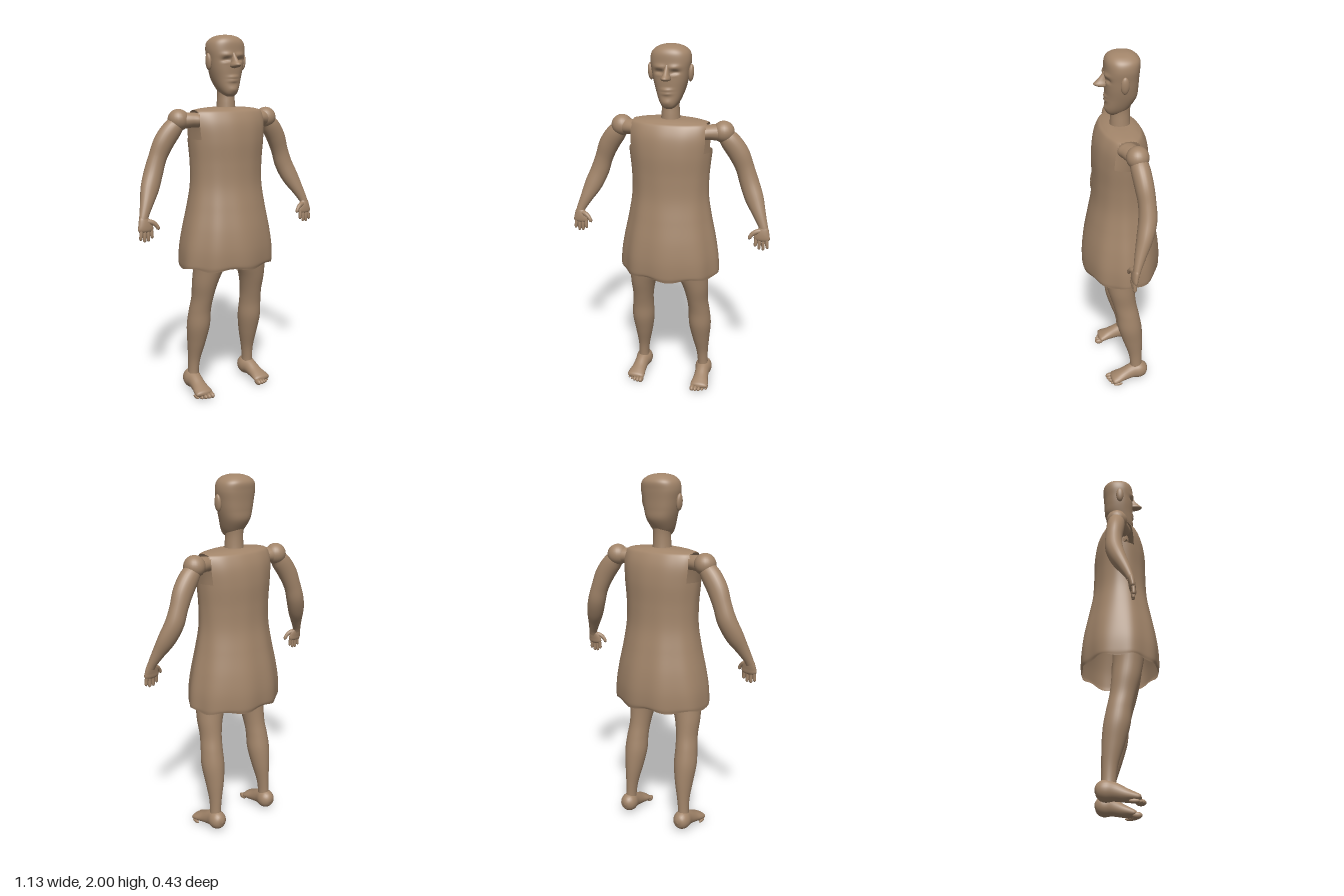
import * as THREE from 'three';

const skin = new THREE.MeshStandardMaterial({ color: 0xa2856a, side: THREE.DoubleSide });
skin.name = 'tan';

const Y = new THREE.Vector3(0, 1, 0);
const Z = new THREE.Vector3(0, 0, 1);
const bump = (d, w) => Math.exp(-(d * d) / (w * w));

function add(group, name, geometry) {
  const mesh = new THREE.Mesh(geometry, skin);
  mesh.name = name;
  group.add(mesh);
  return mesh;
}

// Smooth skin through elliptical sections [x, y, z, radius across, radius along ref].
// side mirrors x, shape(point, angle, t) adjusts points, skip(point) cuts holes.
function loft(sections, { rings = 30, segs = 24, ref = Z, side = 1, level = false, shape, skip } = {}) {
  const spine = new THREE.CatmullRomCurve3(
    sections.map(([x, y, z]) => new THREE.Vector3(x * side, y, z)), false, 'catmullrom', 0.5);
  const radii = new THREE.CatmullRomCurve3(
    sections.map((s) => new THREE.Vector3(s[3], s[4], 0)), false, 'catmullrom', 0.5);
  const points = [];
  for (let i = 0; i <= rings; i++) {
    const t = i / rings;
    const c = spine.getPoint(t), r = radii.getPoint(t);
    const T = level ? Y : spine.getTangent(t);
    const V = ref.clone().addScaledVector(T, -ref.dot(T)).normalize();
    const U = new THREE.Vector3().crossVectors(T, V);
    for (let j = 0; j < segs; j++) {
      const a = (j / segs) * Math.PI * 2;
      const p = c.clone()
        .addScaledVector(U, Math.cos(a) * Math.max(r.x, 0.0005))
        .addScaledVector(V, Math.sin(a) * Math.max(r.y, 0.0005));
      if (shape) shape(p, a, t);
      points.push(p);
    }
  }
  const index = [];
  for (let i = 0; i < rings; i++) {
    for (let j = 0; j < segs; j++) {
      const k = (j + 1) % segs;
      const a = i * segs + j, b = a + segs, c = i * segs + k, d = c + segs;
      if (skip && [a, b, c, d].some((n) => skip(points[n]))) continue;
      index.push(a, b, c, c, b, d);
    }
  }
  const g = new THREE.BufferGeometry().setFromPoints(points);
  g.setIndex(index);
  g.computeVertexNormals();
  return g;
}

function ball(group, name, x, y, z, rx, ry = rx, rz = rx) {
  const mesh = add(group, name, new THREE.SphereGeometry(1, 24, 16));
  mesh.position.set(x, y, z);
  mesh.scale.set(rx, ry, rz);
  return mesh;
}

function makeHead() {
  const head = new THREE.Group();
  head.name = 'head';
  // skull with brow, eye sockets, lips and chin pushed in or out
  add(head, 'skull', loft([
    [0, 1.672, 0.03, 0.001, 0.001], [0, 1.676, 0.028, 0.022, 0.025], [0, 1.69, 0.02, 0.04, 0.05],
    [0, 1.72, 0.01, 0.058, 0.066], [0, 1.77, -0.005, 0.077, 0.081], [0, 1.82, -0.007, 0.091, 0.085],
    [0, 1.87, -0.008, 0.1, 0.087], [0, 1.92, -0.01, 0.107, 0.089], [0, 1.96, -0.012, 0.099, 0.087],
    [0, 1.985, -0.01, 0.072, 0.067], [0, 1.997, -0.01, 0.036, 0.036], [0, 2, -0.01, 0.001, 0.001],
  ], {
    rings: 88, segs: 72, level: true,
    shape: (p, a) => {
      const boxy = 1 + 0.05 * Math.sin(2 * a) ** 2;
      p.x *= boxy;
      p.z *= boxy;
      if (p.z < 0.01) return;
      const ax = Math.abs(p.x);
      p.z += 0.008 * bump(ax - 0.038, 0.03) * bump(p.y - 1.893, 0.012)
        - 0.013 * bump(ax - 0.042, 0.022) * bump(p.y - 1.866, 0.012)
        + 0.005 * bump(ax - 0.042, 0.016) * bump(p.y - 1.856, 0.008)
        + 0.008 * bump(ax, 0.028) * (bump(p.y - 1.777, 0.008) + bump(p.y - 1.758, 0.008))
        + 0.006 * bump(ax, 0.025) * bump(p.y - 1.712, 0.016);
    },
  }));
  add(head, 'nose', loft([
    [0, 1.905, 0.074, 0.008, 0.008], [0, 1.885, 0.078, 0.011, 0.016], [0, 1.86, 0.085, 0.017, 0.031],
    [0, 1.842, 0.09, 0.024, 0.045], [0, 1.83, 0.086, 0.022, 0.032], [0, 1.823, 0.08, 0.001, 0.001],
  ], { level: true }));
  for (const s of [-1, 1]) ball(head, 'ear', s * 0.108, 1.858, -0.003, 0.015, 0.045, 0.022).rotation.z = -s * 0.08;
  add(head, 'neck', loft([
    [0, 1.59, -0.002, 0.054, 0.056], [0, 1.64, -0.002, 0.049, 0.052],
    [0, 1.69, -0.004, 0.046, 0.05], [0, 1.74, -0.004, 0.05, 0.055],
  ], { level: true }));
  return head;
}

// sleeveless dress with flared, uneven hem and open armholes
function makeDress() {
  return loft([
    [0, 0.752, 0, 0.278, 0.207], [0, 0.78, 0, 0.28, 0.214], [0, 0.86, 0, 0.275, 0.214],
    [0, 0.96, 0, 0.258, 0.202], [0, 1.08, 0, 0.233, 0.178], [0, 1.2, 0, 0.215, 0.155],
    [0, 1.32, 0, 0.216, 0.148], [0, 1.44, 0, 0.228, 0.147], [0, 1.53, 0, 0.236, 0.135],
    [0, 1.59, 0, 0.225, 0.11], [0, 1.608, 0, 0.19, 0.088], [0, 1.618, 0, 0.11, 0.062], [0, 1.62, 0, 0.045, 0.04],
  ], {
    rings: 96, segs: 96, level: true,
    shape: (p, a, t) => {
      const low = Math.max(0, 1 - t * 1.9);
      const k = 1 + 0.02 * low * Math.sin(9 * a + 0.6) + 0.004 * Math.sin(12 * a);
      p.x *= k;
      p.z *= k;
      p.y += 0.008 * low ** 6 * Math.sin(7 * a + 1);
    },
    skip: (p) => p.y > 1.462 && Math.abs(p.x) > 0.206,
  });
}

function makeArm(side) {
  const arm = new THREE.Group();
  arm.name = side > 0 ? 'leftArm' : 'rightArm';
  add(arm, 'shoulderStub', loft([
    [0.17, 1.55, 0.005, 0.001, 0.001], [0.175, 1.55, 0.005, 0.035, 0.05],
    [0.215, 1.553, -0.005, 0.04, 0.05], [0.28, 1.55, -0.025, 0.045, 0.045],
  ], { side }));
  ball(arm, 'shoulder', side * 0.282, 1.555, -0.025, 0.058);
  add(arm, 'armLimb', loft([
    [0.27, 1.55, -0.026, 0.035, 0.04], [0.315, 1.51, -0.03, 0.053, 0.048], [0.365, 1.44, -0.038, 0.056, 0.048],
    [0.4, 1.36, -0.045, 0.05, 0.045], [0.428, 1.28, -0.042, 0.052, 0.047], [0.462, 1.2, -0.02, 0.05, 0.042],
    [0.495, 1.13, 0.008, 0.036, 0.031], [0.52, 1.075, 0.028, 0.026, 0.022], [0.53, 1.045, 0.037, 0.024, 0.018],
  ], { rings: 48, side }));

  // hand: palm, four fingers and thumb
  add(arm, 'palm', loft([
    [0.525, 1.07, 0.032, 0.018, 0.014], [0.526, 1.05, 0.038, 0.03, 0.017], [0.522, 1.02, 0.044, 0.041, 0.017],
    [0.521, 0.995, 0.046, 0.04, 0.014], [0.521, 0.982, 0.047, 0.001, 0.001],
  ], { side }));
  const tips = [[0.488, 0.952], [0.509, 0.938], [0.531, 0.936], [0.553, 0.947]];
  tips.forEach(([x, y], i) => {
    const root = 0.491 + i * 0.019;
    add(arm, 'finger', loft([
      [root, 1.005, 0.046, 0.01, 0.01], [(root + x) / 2, 0.975, 0.05, 0.0095, 0.0095],
      [x, y + 0.007, 0.05, 0.008, 0.008], [x, y, 0.049, 0.001, 0.001],
    ], { rings: 15, segs: 12, side }));
  });
  add(arm, 'thumb', loft([
    [0.515, 1.045, 0.042, 0.014, 0.013], [0.485, 1.037, 0.052, 0.013, 0.012], [0.465, 1.02, 0.058, 0.011, 0.01],
    [0.456, 1.003, 0.06, 0.009, 0.009], [0.454, 0.995, 0.06, 0.001, 0.001],
  ], { rings: 20, segs: 14, side }));
  return arm;
}

function makeLeg(side) {
  const leg = new THREE.Group();
  leg.name = side > 0 ? 'leftLeg' : 'rightLeg';
  add(leg, 'legLimb', loft([
    [0.13, 0.84, 0.045, 0.1, 0.088], [0.137, 0.75, 0.038, 0.089, 0.082], [0.155, 0.66, 0.026, 0.072, 0.075],
    [0.163, 0.57, 0.009, 0.06, 0.067], [0.17, 0.49, -0.008, 0.061, 0.066], [0.173, 0.4, -0.021, 0.064, 0.069],
    [0.176, 0.3, -0.038, 0.051, 0.058], [0.182, 0.2, -0.053, 0.035, 0.041],
    [0.186, 0.13, -0.058, 0.03, 0.035], [0.188, 0.08, -0.06, 0.032, 0.036],
  ], { rings: 54, segs: 32, level: true, shape: null }));
  // foot from heel to ball
  add(leg, 'foot', loft([
    [0.187, 0.065, -0.128, 0.001, 0.001], [0.187, 0.066, -0.12, 0.027, 0.029], [0.188, 0.067, -0.1, 0.044, 0.048],
    [0.189, 0.067, -0.07, 0.049, 0.055], [0.191, 0.062, -0.03, 0.042, 0.046], [0.194, 0.047, 0.02, 0.043, 0.035],
    [0.197, 0.035, 0.065, 0.051, 0.026], [0.197, 0.029, 0.09, 0.047, 0.018], [0.197, 0.026, 0.1, 0.001, 0.001],
  ], { rings: 40, ref: Y }));
  for (let i = 0; i < 5; i++) {
    const r = 0.017 - i * 0.0018;
    ball(leg, 'toe', 0.16 + i * 0.0195, r + 0.002, 0.098 - i * i * 0.0022, r * 0.85, r, 0.027);
  }
  // the limb pieces are built for +x, then flipped for the other side
  if (side < 0) leg.scale.x = -1;
  return leg;
}

export function createModel() {
  const model = new THREE.Group();
  model.name = 'figure';
  model.add(makeHead());
  add(model, 'dress', makeDress());
  for (const side of [1, -1]) model.add(makeArm(side), makeLeg(side));
  return model;
}
